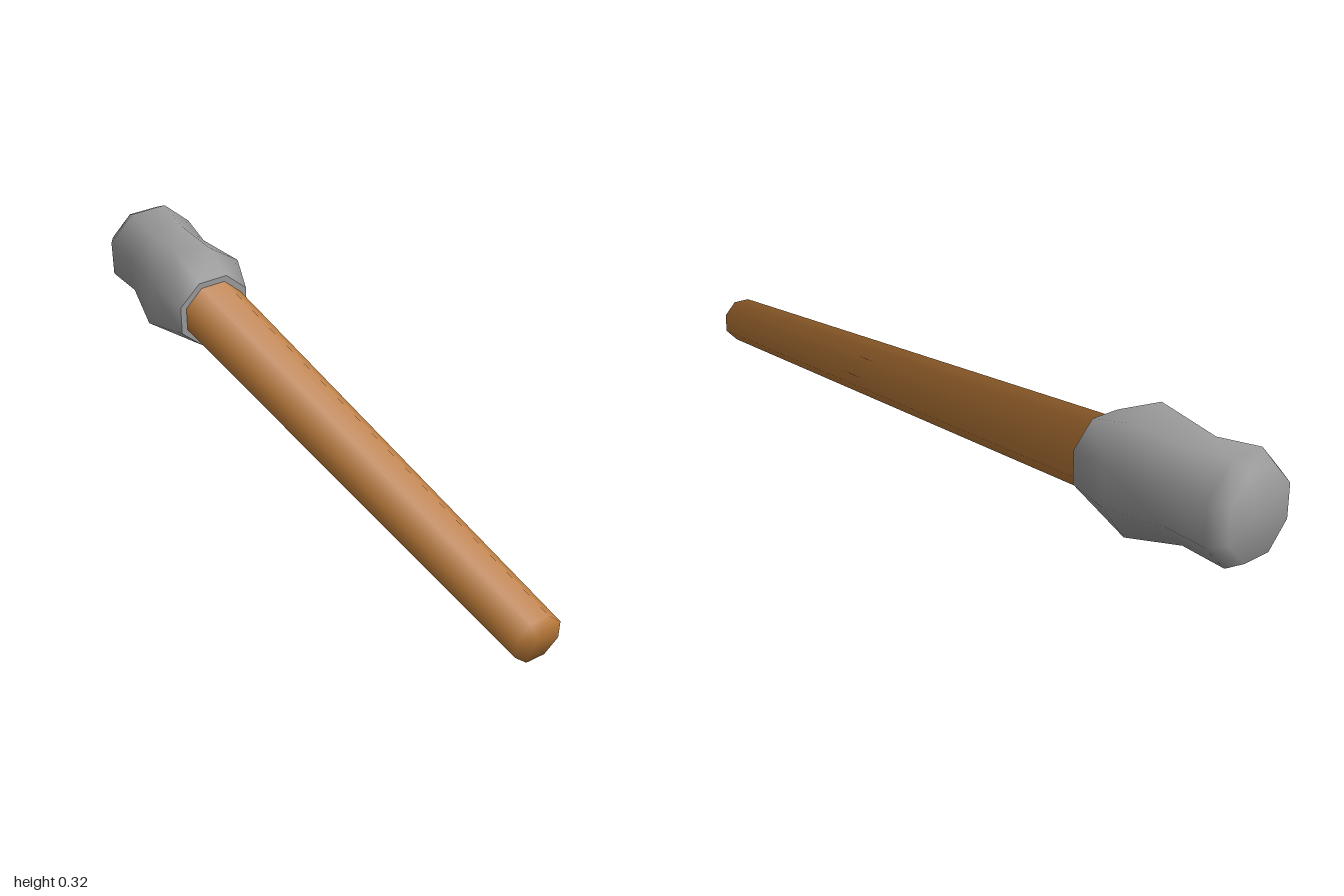
import * as THREE from 'three';

const CX = 0.003, CY = 0.158, SIDES = 8;

// Regular octagon with flat top, given its inner radius
function octagon(z, apothem) {
  const r = apothem / Math.cos(Math.PI / SIDES);
  return Array.from({ length: SIDES }, (_, j) => {
    const a = (j + 0.5) * 2 * Math.PI / SIDES;
    return [CX + r * Math.cos(a), CY + r * Math.sin(a), z];
  });
}

// Skin over cross-sections ordered from +z to -z
function loft(rings) {
  const index = [];
  for (let i = 0; i < rings.length - 1; i++) {
    for (let j = 0; j < SIDES; j++) {
      const k = (j + 1) % SIDES;
      const a = i * SIDES + j, b = i * SIDES + k;
      const c = a + SIDES, d = b + SIDES;
      index.push(a, c, b, b, c, d);
    }
  }
  const geometry = new THREE.BufferGeometry();
  geometry.setAttribute('position', new THREE.Float32BufferAttribute(rings.flat(2), 3));
  geometry.setIndex(index);
  geometry.computeVertexNormals();
  return geometry;
}

export function createModel() {
  const model = new THREE.Group();
  model.name = 'clubHammer';
  const wood = new THREE.MeshStandardMaterial({ color: 0xb87838 });
  wood.name = 'wood';
  const stone = new THREE.MeshStandardMaterial({ color: 0x9e9e9e });
  stone.name = 'stone';

  const add = (name, geometry, material) => {
    const mesh = new THREE.Mesh(geometry, material);
    mesh.name = name;
    model.add(mesh);
  };

  // Tapered handle with closed grip end; normals lean forward for soft ends
  const handle = loft([octagon(1, 0), octagon(1, 0.061), octagon(-0.535, 0.09)]);
  const pos = handle.attributes.position, normal = handle.attributes.normal;
  const n = new THREE.Vector3();
  for (let i = 0; i < pos.count; i++) {
    n.set(pos.getX(i) - CX, pos.getY(i) - CY, 0);
    if (n.length() > 0.01) n.normalize();
    n.z = 0.9;
    n.normalize();
    normal.setXYZ(i, n.x, n.y, n.z);
  }
  add('handle', handle, wood);

  // Flat collar where the handle enters the head
  add('headCollar', loft([octagon(-0.535, 0.09), octagon(-0.535, 0.108)]), stone);

  // Rough head: twisted bulge, narrow waist, flared striking end
  const bulge = [
    [0.152, 0.219], [0.058, 0.292], [-0.055, 0.317], [-0.133, 0.215],
    [-0.153, 0.095], [-0.05, 0.025], [0.062, 0], [0.14, 0.1],
  ].map(([x, y]) => [x, y, -0.66]);
  add('head', loft([
    octagon(-0.535, 0.108),
    bulge,
    octagon(-0.83, 0.122),
    octagon(-0.955, 0.133),
    octagon(-1, 0.108),
    octagon(-1, 0),
  ]), stone);

  return model;
}
